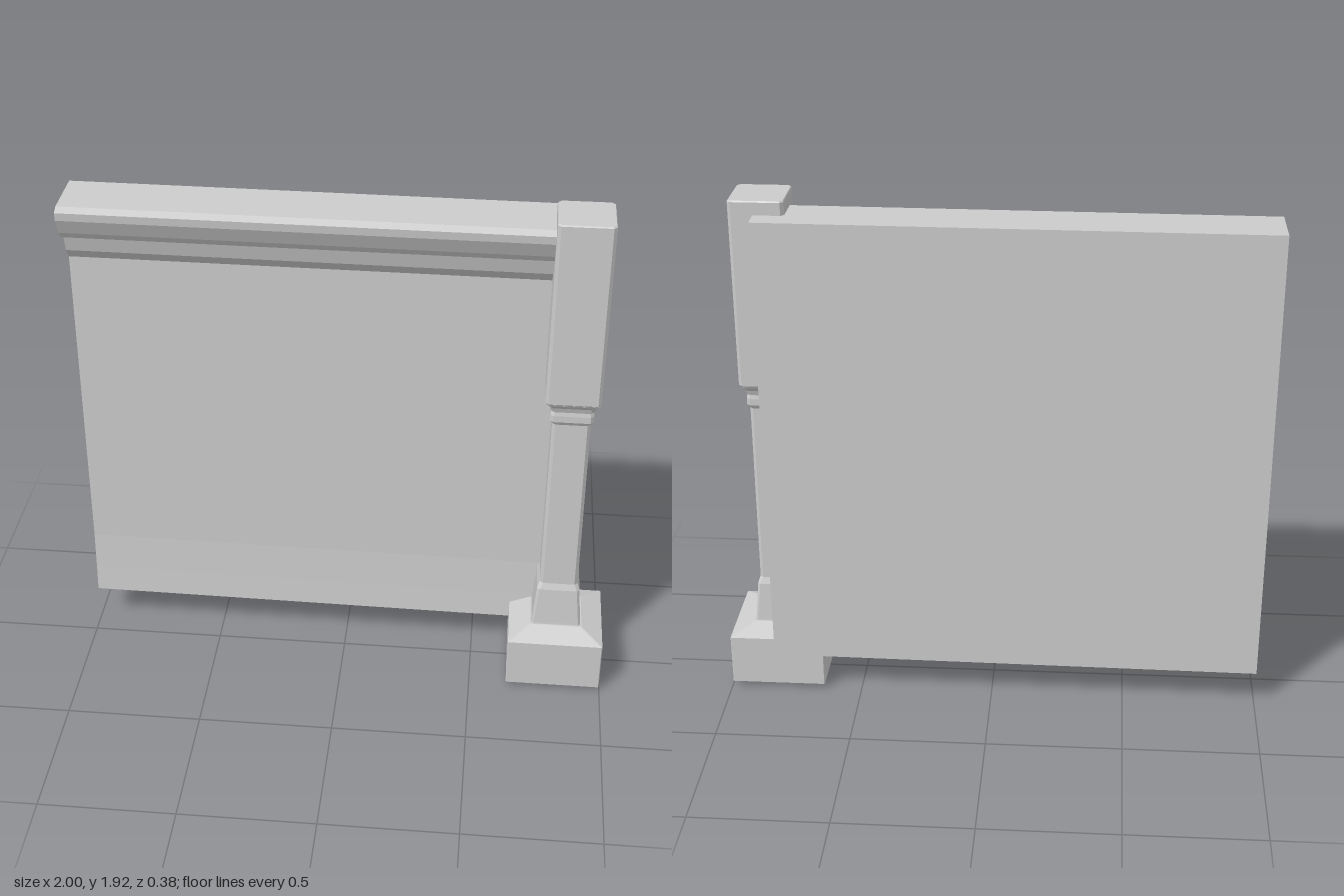
import * as THREE from 'three';

const material = new THREE.MeshStandardMaterial({ color: 0xcccccc, flatShading: true });

// Loft of square rings with chamfered corners; each ring is [y, half width, chamfer]
function squareLoft(rings) {
  const loops = rings.map(([y, h, c]) => {
    const k = h - c;
    return [[h, -k], [h, k], [k, h], [-k, h], [-h, k], [-h, -k], [-k, -h], [k, -h]]
      .map(([x, z]) => [x, y, z]);
  });
  const positions = [];
  const tri = (a, b, c) => positions.push(...a, ...b, ...c);
  const last = loops.length - 1;
  for (let j = 0; j < 8; j++) {
    const n = (j + 1) % 8;
    for (let i = 0; i < last; i++) {
      tri(loops[i][j], loops[i + 1][j], loops[i][n]);
      tri(loops[i][n], loops[i + 1][j], loops[i + 1][n]);
    }
    tri([0, rings[0][0], 0], loops[0][j], loops[0][n]);
    tri([0, rings[last][0], 0], loops[last][n], loops[last][j]);
  }
  const geometry = new THREE.BufferGeometry();
  geometry.setAttribute('position', new THREE.Float32BufferAttribute(positions, 3));
  geometry.computeVertexNormals();
  return geometry;
}

// Side profile [depth from the back, height] run along x, slightly skewed
function profileRun(profile, x0, x1) {
  const shape = new THREE.Shape(profile.map(([d, y]) => new THREE.Vector2(-d, y)));
  const geometry = new THREE.ExtrudeGeometry(shape, { depth: x1 - x0, bevelEnabled: false, steps: 1 });
  geometry.rotateY(Math.PI / 2).translate(x0, 0, 0);
  const p = geometry.attributes.position;
  for (let i = 0; i < p.count; i++) p.setZ(i, p.getZ(i) - 0.179 + 0.011 * p.getX(i));
  geometry.computeVertexNormals();
  return geometry;
}

export function createModel() {
  const group = new THREE.Group();
  const add = (name, geometry, x = 0, z = 0) => {
    const mesh = new THREE.Mesh(geometry, material);
    mesh.name = name;
    mesh.position.set(x, 0, z);
    group.add(mesh);
  };

  // Wall panel with its stepped cornice in one profile
  add('wallPanelWithCornice', profileRun([
    [0, 0.145], [0.115, 0.145], [0.108, 0.25], [0.1, 0.4], [0.097, 1.62],
    [0.128, 1.66], [0.145, 1.72], [0.188, 1.74], [0.205, 1.765],
    [0.235, 1.825], [0.238, 1.855], [0.21, 1.868], [0, 1.87],
  ], -1, 0.83));

  const px = 0.82, pz = 0.011;

  // Plinth block with bevelled top and underside
  add('postBase', squareLoft([
    [0, 0.12, 0.003], [0.016, 0.178, 0.003], [0.21, 0.178, 0.003], [0.242, 0.098, 0.006],
  ]), px, pz);

  // Flared foot, slim shaft and collar
  add('postShaft', squareLoft([
    [0.235, 0.094, 0.008], [0.25, 0.092, 0.008], [0.395, 0.08, 0.01], [0.42, 0.071, 0.012],
    [1.125, 0.069, 0.012], [1.14, 0.078, 0.012], [1.165, 0.078, 0.012],
    [1.18, 0.075, 0.012], [1.2, 0.082, 0.012], [1.22, 0.097, 0.012],
  ]), px, pz);

  // Wide upper block
  add('postHead', squareLoft([
    [1.215, 0.094, 0.012], [1.225, 0.099, 0.012], [1.915, 0.099, 0.012], [1.92, 0.096, 0.012],
  ]), px, pz);

  return group;
}
